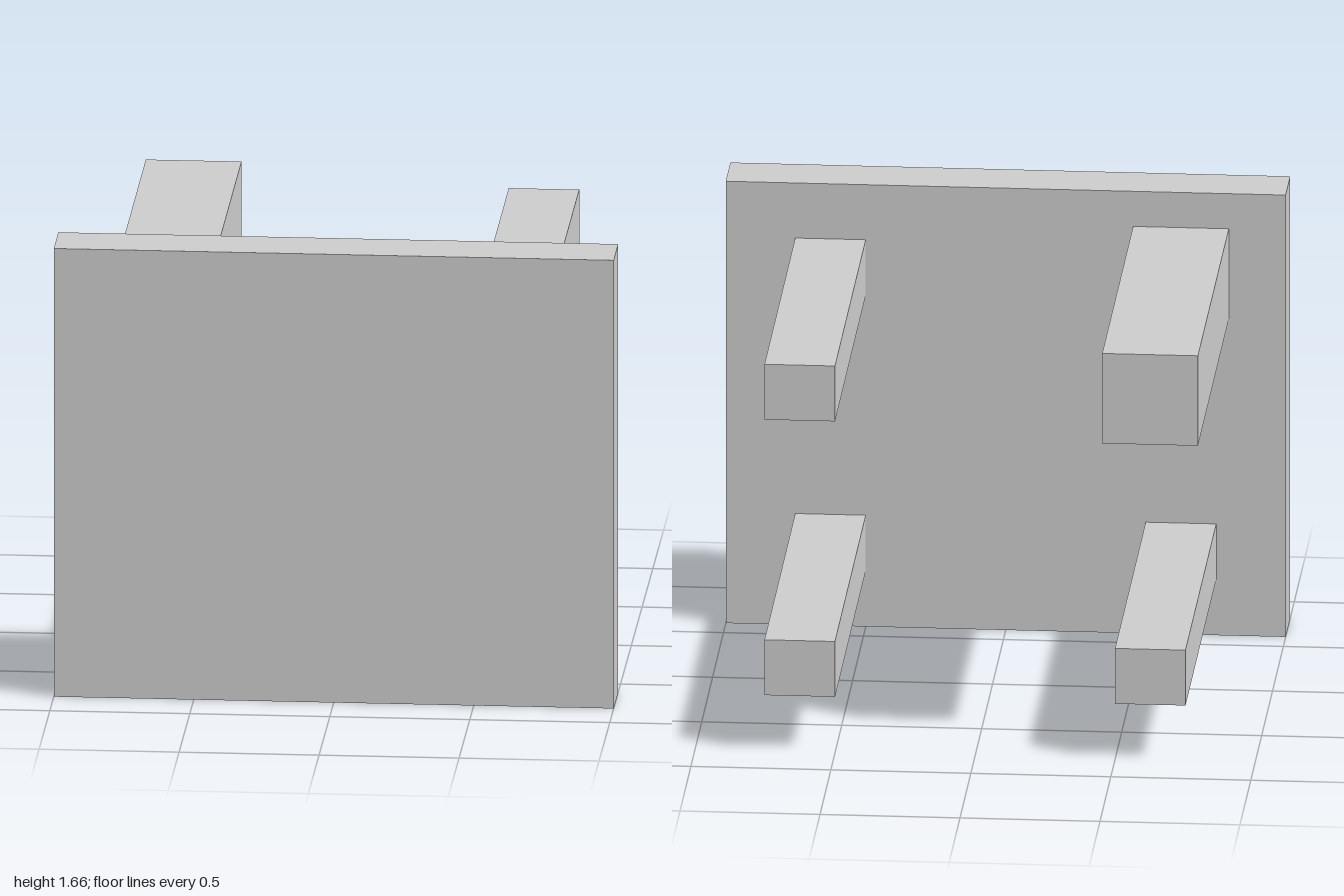
import * as THREE from 'three';

const material = new THREE.MeshStandardMaterial({ color: 0xcccccc, flatShading: true });

// Box given by its limits on each axis
function addBox(group, name, [x0, x1], [y0, y1], [z0, z1]) {
  const mesh = new THREE.Mesh(new THREE.BoxGeometry(x1 - x0, y1 - y0, z1 - z0), material);
  mesh.position.set((x0 + x1) / 2, (y0 + y1) / 2, (z0 + z1) / 2);
  mesh.name = name;
  group.add(mesh);
}

export function createModel() {
  const group = new THREE.Group();
  group.name = 'table';
  const back = 0.607; // rear face of the upright top

  // Table top, standing on edge
  addBox(group, 'tableTop', [-1, 1], [0, 1.66], [back, 0.817]);

  // Three slim legs
  const low = [0.21, 0.418], high = [1.245, 1.453];
  const left = [0.5, 0.752], right = [-0.752, -0.5];
  addBox(group, 'lowerLeftLeg', left, low, [-0.808, back]);
  addBox(group, 'upperLeftLeg', left, high, [-0.808, back]);
  addBox(group, 'lowerRightLeg', right, low, [-0.808, back]);

  // One thicker leg
  addBox(group, 'thickUpperRightLeg', [-0.797, -0.455], [1.19, 1.528], [-0.817, back]);
  return group;
}
